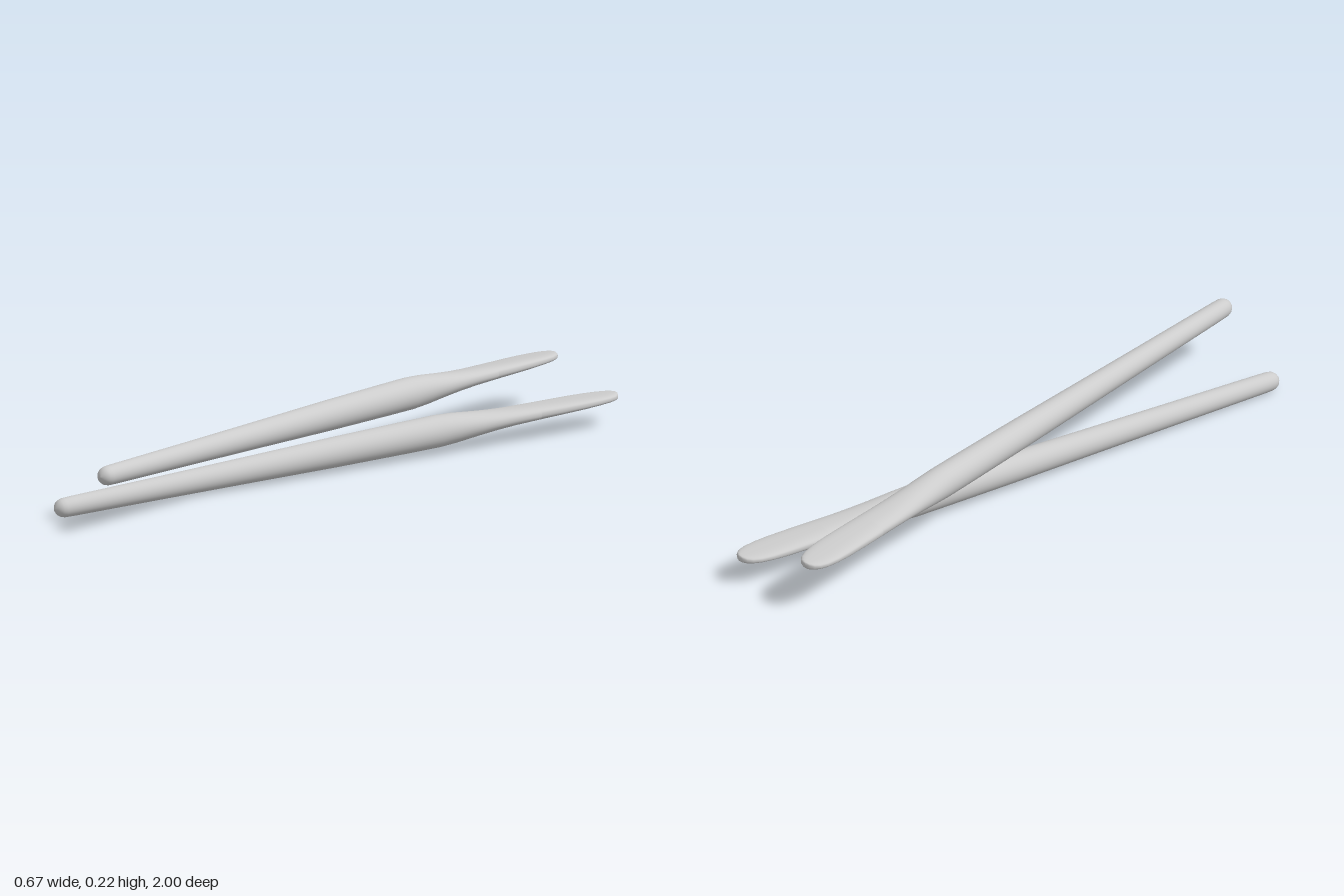
import * as THREE from 'three';

const SIDES = 40;
const material = new THREE.MeshStandardMaterial({ color: 0xcccccc });

// Stations along the stick: [distance from the round end, half width, half thickness]
const GRIP = [
  [0, 0, 0], [0.003, 0.012, 0.012], [0.01, 0.021, 0.021], [0.018, 0.026, 0.026],
  [0.03, 0.029, 0.029], [0.06, 0.03, 0.03], [0.4, 0.035, 0.035], [0.7, 0.04, 0.04],
  [1.0, 0.045, 0.0455], [1.25, 0.048, 0.048], [1.36, 0.049, 0.0485], [1.42, 0.0495, 0.045],
  [1.5, 0.0505, 0.036], [1.56, 0.0515, 0.03], [1.62, 0.0525, 0.0255], [1.7, 0.054, 0.022],
];
const PADDLE = [
  [1.7, 0.054, 0.022], [1.78, 0.0555, 0.019], [1.86, 0.0555, 0.0165], [1.91, 0.053, 0.0145],
  [1.95, 0.047, 0.013], [1.975, 0.038, 0.012], [1.99, 0.027, 0.011], [1.997, 0.015, 0.01],
  [2.0, 0.007, 0.008], [2.0, 0, 0],
];

// Skin the stations with rings that turn from circles into flattened ovals
function loft(stations) {
  const positions = [], index = [];
  stations.forEach(([t, w, h], i) => {
    const p = 1 - 0.3 * THREE.MathUtils.smoothstep(t, 1.4, 1.9);
    for (let j = 0; j < SIDES; j++) {
      const a = (j / SIDES) * Math.PI * 2;
      const c = Math.cos(a), s = Math.sin(a);
      positions.push(w * Math.sign(c) * Math.abs(c) ** p, h * Math.sign(s) * Math.abs(s) ** p, -t);
      if (i === stations.length - 1) continue;
      const k = (j + 1) % SIDES;
      const r0 = i * SIDES, r1 = r0 + SIDES;
      index.push(r0 + j, r1 + j, r0 + k, r0 + k, r1 + j, r1 + k);
    }
  });
  const g = new THREE.BufferGeometry();
  g.setAttribute('position', new THREE.Float32BufferAttribute(positions, 3));
  g.setIndex(index);
  g.computeVertexNormals();
  return g;
}

// One stick running from its round end to its flat end
function makeStick(name, from, to, roll) {
  const stick = new THREE.Group();
  stick.name = name;
  for (const [part, stations] of [['grip', GRIP], ['paddle', PADDLE]]) {
    const mesh = new THREE.Mesh(loft(stations), material);
    mesh.name = part;
    stick.add(mesh);
  }
  const start = new THREE.Vector3(...from), end = new THREE.Vector3(...to);
  stick.position.copy(start);
  stick.lookAt(start.clone().multiplyScalar(2).sub(end));
  stick.rotateZ(roll);
  stick.scale.z = start.distanceTo(end) / 2;
  return stick;
}

export function createModel() {
  const model = new THREE.Group();
  model.name = 'crossedSticks';
  model.add(
    makeStick('upperStick', [-0.095, 0.18, 1], [0.04, 0.164, -1], 0.08),
    makeStick('lowerStick', [-0.32, 0.031, 0.93], [0.302, 0.09, -0.967], 0.03),
  );
  return model;
}
